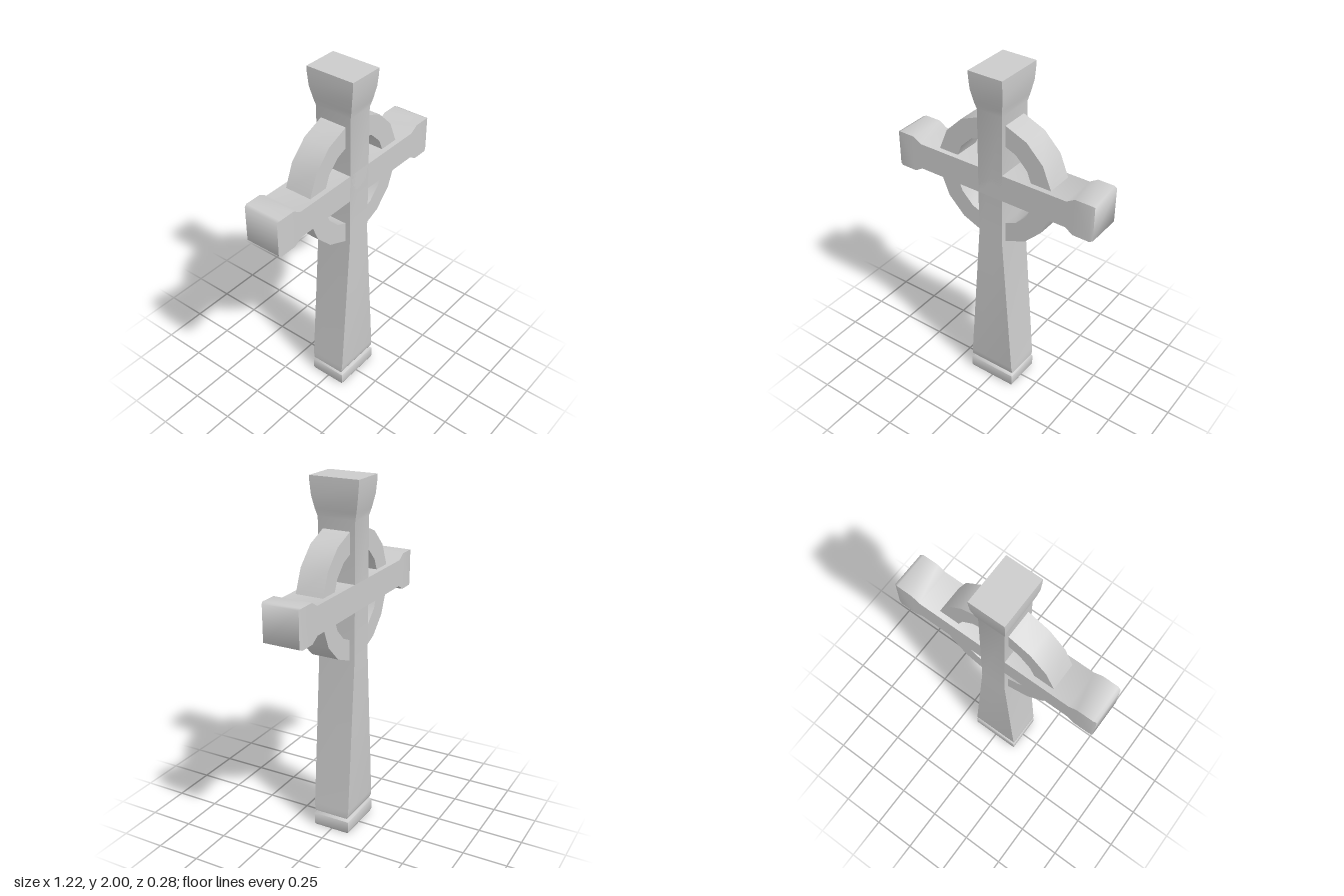
import * as THREE from 'three';
import { toCreasedNormals } from 'three/addons/utils/BufferGeometryUtils.js';

const material = new THREE.MeshStandardMaterial({ color: 0xcccccc });

// Closed solid through a row of four-cornered sections (corners counter-clockwise seen from the far end).
function loft(name, sections) {
  const index = [];
  const last = (sections.length - 1) * 4;
  for (let s = 0; s < last; s += 4) {
    for (let i = 0; i < 4; i++) {
      const a = s + i, b = s + (i + 1) % 4;
      index.push(a, b, b + 4, a, b + 4, a + 4);
    }
  }
  index.push(0, 2, 1, 0, 3, 2, last, last + 1, last + 2, last, last + 2, last + 3);
  const geometry = new THREE.BufferGeometry();
  geometry.setAttribute('position', new THREE.Float32BufferAttribute(sections.flat(2), 3));
  geometry.setIndex(index);
  const mesh = new THREE.Mesh(toCreasedNormals(geometry, 1.2), material);
  mesh.name = name;
  return mesh;
}

// Rectangle at height y, half width w, half depth d
const level = ([y, w, d]) => [[-w, y, d], [w, y, d], [w, y, -d], [-w, y, -d]];
// Rectangle at distance x, half height h, half depth d
const upright = ([x, h, d]) => [[x, -h, d], [x, -h, -d], [x, h, -d], [x, h, d]];

export function createModel() {
  const group = new THREE.Group();
  group.name = 'ringedCross';
  const centreY = 1.383;

  // Foot block with softened edges
  group.add(loft('foot', [
    [0, 0.14, 0.104], [0.012, 0.146, 0.109], [0.075, 0.146, 0.109], [0.088, 0.135, 0.1],
  ].map(level)));

  // Neck in the groove between foot and shaft
  group.add(loft('groove', [[0.08, 0.128, 0.095], [0.11, 0.128, 0.095]].map(level)));

  // Tapering shaft with flared head
  group.add(loft('shaft', [
    [0.096, 0.144, 0.1], [0.105, 0.145, 0.104], [0.14, 0.142, 0.108],
    [1.04, 0.075, 0.108], [1.79, 0.075, 0.108],
    [1.83, 0.084, 0.119], [1.9, 0.097, 0.133], [1.97, 0.1, 0.14], [2, 0.1, 0.141],
  ].map(level)));

  // Cross arm with a block at each end, profile mirrored about the centre
  const half = [[0.455, 0.076, 0.108], [0.502, 0.105, 0.108], [0.595, 0.105, 0.108], [0.612, 0.098, 0.102]];
  const mirrored = half.map(([x, h, d]) => [-x, h, d]).reverse();
  const arm = loft('crossArm', [...mirrored, ...half].map(upright));
  arm.position.y = centreY;
  group.add(arm);

  // Four faceted ring quarters between the arms
  const inner = 0.247, outer = 0.358, depth = 0.078;
  for (let q = 0; q < 4; q++) {
    const sections = [11, 34, 56, 79].map((degrees) => {
      const t = THREE.MathUtils.degToRad(degrees + q * 90);
      const c = Math.cos(t), s = Math.sin(t);
      return [[inner, depth], [inner, -depth], [outer, -depth], [outer, depth]]
        .map(([r, z]) => [r * c, r * s, z]).reverse();
    });
    const quarter = loft('ringQuarter', sections);
    quarter.position.y = centreY;
    group.add(quarter);
  }
  return group;
}
